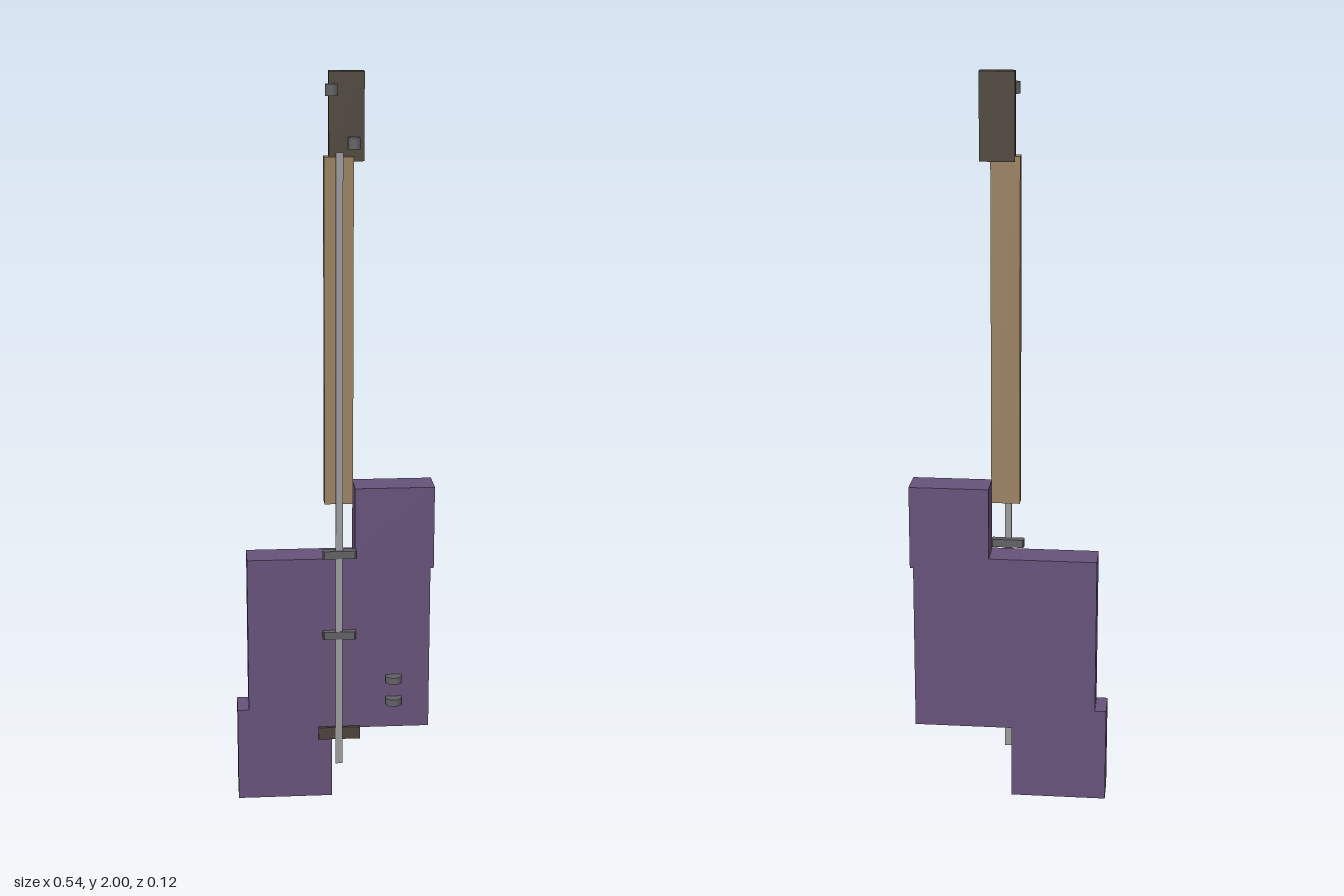
import * as THREE from 'three';

export function createModel() {
  const model = new THREE.Group();
  const mat = (color) => new THREE.MeshStandardMaterial({ color, flatShading: true });
  const purple = mat(0x67527a), wood = mat(0x9a8260), dark = mat(0x4d443a);
  const metal = mat(0x626266), steel = mat(0x9c9c9c);

  const add = (name, geometry, material) => {
    const mesh = new THREE.Mesh(geometry, material);
    mesh.name = name;
    model.add(mesh);
    return mesh;
  };
  // Box given by its lower and upper limits
  const box = (name, [x0, y0, z0], [x1, y1, z1], material) =>
    add(name, new THREE.BoxGeometry(x1 - x0, y1 - y0, z1 - z0), material)
      .position.set((x0 + x1) / 2, (y0 + y1) / 2, (z0 + z1) / 2);
  // Upright disc
  const disc = (name, x, y, z, radius, height) =>
    add(name, new THREE.CylinderGeometry(radius, radius, height, 20), metal).position.set(x, y, z);
  const outline = (points) => new THREE.Shape(points.map(([x, y]) => new THREE.Vector2(x, y)));

  // Stepped slab body
  const body = outline([
    [-0.27, 0], [-0.008, 0], [-0.008, 0.205], [0.261, 0.205], [0.261, 0.67], [0.27, 0.67],
    [0.27, 0.9], [0.054, 0.9], [0.054, 0.703], [-0.239, 0.703], [-0.239, 0.266], [-0.27, 0.266],
  ]);
  add('body', new THREE.ExtrudeGeometry(body, { depth: 0.091, bevelEnabled: false }), purple)
    .position.z = -0.062;

  // Neck, headstock and string band
  box('neck', [-0.027, 0.852, -0.028], [0.05, 1.785, 0.009], wood);
  box('headstock', [-0.014, 1.772, -0.036], [0.078, 2, -0.003 + 0.001], dark);
  box('strings', [0.001, 0.103, 0.038], [0.02, 1.8, 0.042], steel);

  // Tuning pegs
  disc('upperTuningPeg', -0.008, 1.955, 0.011, 0.016, 0.03);
  disc('lowerTuningPeg', 0.051, 1.82, 0.011, 0.016, 0.03);

  // Pickups: bars with clipped corners
  const bar = outline([
    [-0.034, -0.041], [-0.034, -0.027], [-0.03, -0.023], [0.053, -0.023],
    [0.057, -0.027], [0.057, -0.041], [0.053, -0.045], [-0.03, -0.045],
  ]);
  for (const [name, y] of [['neckPickup', 0.707], ['middlePickup', 0.474]]) {
    const geometry = new THREE.ExtrudeGeometry(bar, { depth: 0.022, bevelEnabled: false });
    add(name, geometry.rotateX(-Math.PI / 2), metal).position.y = y;
  }

  // Bridge
  box('bridge', [-0.046, 0.175, 0.02], [0.069, 0.21, 0.038], dark);

  // Control knobs
  disc('upperKnob', 0.162, 0.351, 0.036, 0.0225, 0.02);
  disc('lowerKnob', 0.162, 0.286, 0.036, 0.0225, 0.02);

  return model;
}
